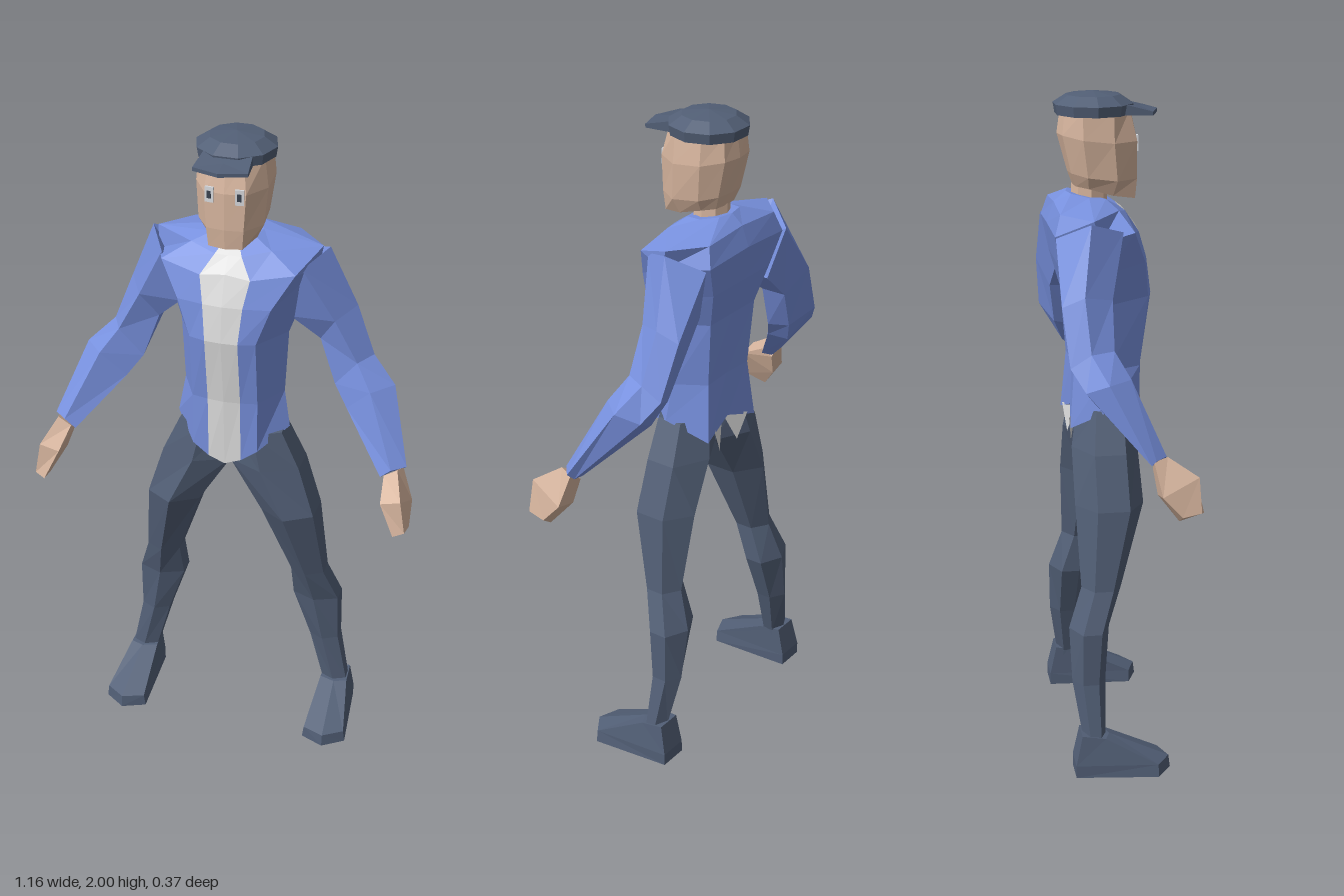
import * as THREE from 'three';

const mat = (name, color, opts = {}) => {
  const m = new THREE.MeshStandardMaterial({ color, ...opts });
  m.name = name;
  return m;
};

// Faceted skin over rings of [x, y, z] points; `accent(i)` picks the sides that use the second material.
function loft(rings, accent = () => false) {
  const n = rings[0].length;
  const main = [], second = [];
  const centre = ring => [0, 1, 2].map(k => ring.reduce((s, p) => s + p[k], 0) / n);
  for (let r = 0; r < rings.length - 1; r++) {
    for (let i = 0; i < n; i++) {
      const j = (i + 1) % n;
      const a = rings[r][i], b = rings[r][j], c = rings[r + 1][j], d = rings[r + 1][i];
      (accent(i) ? second : main).push([a, b, c], [a, c, d]);
    }
  }
  const first = rings[0], last = rings[rings.length - 1];
  const c0 = centre(first), c1 = centre(last);
  for (let i = 0; i < n; i++) {
    const j = (i + 1) % n;
    main.push([c0, first[j], first[i]], [c1, last[i], last[j]]);
  }
  const tris = [...main, ...second];
  // Turn all faces outward using the signed volume
  const [A, B, C] = [new THREE.Vector3(), new THREE.Vector3(), new THREE.Vector3()];
  let volume = 0;
  for (const [a, b, c] of tris) {
    volume += A.fromArray(a).dot(B.fromArray(b).cross(C.fromArray(c)));
  }
  const flat = tris.flatMap(([a, b, c]) => (volume < 0 ? [a, c, b] : [a, b, c])).flat();
  const g = new THREE.BufferGeometry();
  g.setAttribute('position', new THREE.Float32BufferAttribute(flat, 3));
  g.addGroup(0, main.length * 3, 0);
  if (second.length) g.addGroup(main.length * 3, second.length * 3, 1);
  g.computeVertexNormals();
  return g;
}

const facet = g => {
  const f = g.index ? g.toNonIndexed() : g;
  f.computeVertexNormals();
  return f;
};
// Complete a half ring running from centre front to centre back
const whole = half => [...half, ...half.slice(1, -1).reverse().map(([x, y, z]) => [-x, y, z])];
const side = (rings, s) => rings.map(r => r.map(([x, y, z]) => [x * s, y, z]));

export function createModel() {
  const model = new THREE.Group();
  const jacket = mat('jacket blue', 0x7891df);
  const skin = mat('skin', 0xd8b69f);
  const shirt = mat('shirt white', 0xdedede);
  const shirtTail = mat('shirt tail white', 0xdedede, { side: THREE.DoubleSide });
  const dark = mat('dark slate', 0x525f76);
  const eyeWhite = mat('eye white', 0xd8dade);
  const pupil = mat('pupil', 0x39424f);
  const add = (name, geometry, material, parent = model) => {
    const m = new THREE.Mesh(geometry, material);
    m.name = name;
    parent.add(m);
    return m;
  };

  // Jacket with the shirt strip down the front
  const torso = [
    [[0, 0.98, 0.08], [0.05, 1.0, 0.08], [0.1, 1.035, 0.075], [0.175, 1.085, -0.02], [0.12, 1.02, -0.135], [0, 1.06, -0.12]],
    [[0, 1.2, 0.09], [0.05, 1.2, 0.085], [0.1, 1.2, 0.075], [0.155, 1.2, -0.03], [0.1, 1.2, -0.12], [0, 1.2, -0.115]],
    [[0, 1.41, 0.118], [0.05, 1.41, 0.115], [0.1, 1.41, 0.1], [0.165, 1.4, -0.03], [0.11, 1.4, -0.135], [0, 1.4, -0.135]],
    [[0, 1.52, 0.105], [0.06, 1.52, 0.1], [0.14, 1.52, 0.085], [0.2, 1.5, -0.04], [0.14, 1.51, -0.165], [0, 1.51, -0.165]],
    [[0, 1.61, 0.075], [0.075, 1.6, 0.075], [0.2, 1.62, 0.045], [0.24, 1.6, -0.06], [0.18, 1.61, -0.183], [0, 1.62, -0.187]],
    [[0, 1.655, 0.04], [0.04, 1.655, 0.04], [0.12, 1.67, 0.01], [0.25, 1.665, -0.08], [0.16, 1.67, -0.165], [0, 1.68, -0.165]],
    [[0, 1.67, 0.02], [0.03, 1.67, 0.02], [0.065, 1.695, -0.02], [0.075, 1.7, -0.07], [0.05, 1.71, -0.12], [0, 1.71, -0.13]],
  ].map(whole);
  add('jacketAndShirt', loft(torso, i => i === 0 || i === 9), [jacket, shirt]);

  // Neck and head
  const neck = facet(new THREE.CylinderGeometry(0.052, 0.055, 0.12, 8));
  add('neck', neck, skin).position.set(0, 1.69, -0.06);
  const head = [
    [[0, 1.69, 0.075], [0.05, 1.692, 0.068], [0.075, 1.705, 0], [0.07, 1.725, -0.07], [0.045, 1.73, -0.105], [0, 1.73, -0.11]],
    [[0, 1.75, 0.08], [0.055, 1.75, 0.073], [0.097, 1.75, 0.01], [0.09, 1.76, -0.075], [0.055, 1.77, -0.12], [0, 1.77, -0.125]],
    [[0, 1.86, 0.08], [0.062, 1.86, 0.072], [0.106, 1.86, 0], [0.104, 1.87, -0.09], [0.06, 1.88, -0.145], [0, 1.88, -0.155]],
    [[0, 1.95, 0.06], [0.05, 1.95, 0.052], [0.096, 1.95, 0], [0.096, 1.95, -0.09], [0.055, 1.95, -0.138], [0, 1.95, -0.145]],
  ].map(whole);
  add('head', loft(head), skin);

  // Cap crown and peak
  const crown = [[0, 1.935], [0.114, 1.935], [0.119, 1.965], [0.08, 1.99], [0, 2.0]].map(p => new THREE.Vector2(...p));
  const crownMesh = add('capCrown', facet(new THREE.LatheGeometry(crown, 10, Math.PI / 10)), dark);
  crownMesh.position.z = -0.048;
  const peak = (y, drop) => [
    [0.07, y, 0.03], [0.08, y - drop, 0.115], [0, y - drop, 0.14], [-0.08, y - drop, 0.115], [-0.07, y, 0.03],
  ];
  add('capPeak', loft([peak(1.935, 0), peak(1.968, 0.022)]), dark);

  for (const s of [1, -1]) {
    const label = s > 0 ? 'left' : 'right';

    // Eyes
    const eye = new THREE.Group();
    eye.name = label + 'Eye';
    eye.position.set(0.044 * s, 1.853, 0.0745);
    eye.rotation.y = 0.13 * s;
    add('eyeWhite', new THREE.BoxGeometry(0.026, 0.046, 0.006), eyeWhite, eye);
    add('pupil', new THREE.BoxGeometry(0.012, 0.022, 0.009), pupil, eye);
    model.add(eye);

    // Sleeve: outer, back, inner back, inner front, front
    const sleeve = [
      [[0.268, 1.66, -0.09], [0.2, 1.61, -0.183], [0.17, 1.45, -0.14], [0.17, 1.45, -0.03], [0.21, 1.625, 0.01]],
      [[0.348, 1.47, -0.12], [0.33, 1.44, -0.183], [0.25, 1.37, -0.15], [0.25, 1.37, -0.07], [0.3, 1.45, -0.035]],
      [[0.405, 1.32, -0.11], [0.395, 1.28, -0.168], [0.31, 1.24, -0.13], [0.3, 1.23, -0.06], [0.37, 1.32, -0.04]],
      [[0.48, 1.25, -0.07], [0.44, 1.22, -0.13], [0.35, 1.17, -0.1], [0.345, 1.17, -0.03], [0.42, 1.25, 0]],
      [[0.55, 1.05, 0.05], [0.53, 1.03, 0.04], [0.485, 1.02, 0.045], [0.478, 1.02, 0.08], [0.51, 1.05, 0.085]],
    ];
    add(label + 'Sleeve', loft(side(sleeve, s)), jacket);

    // Hand
    const hand = [
      [[0.54, 1.045, 0.045], [0.49, 1.01, 0.05], [0.49, 1.03, 0.085], [0.53, 1.055, 0.085]],
      [[0.575, 0.95, 0.065], [0.515, 0.94, 0.06], [0.5, 0.985, 0.17], [0.56, 1.0, 0.17]],
      [[0.58, 0.89, 0.12], [0.553, 0.872, 0.115], [0.545, 0.89, 0.187], [0.577, 0.9, 0.175]],
    ];
    add(label + 'Hand', loft(side(hand, s)), skin);

    // Trouser leg: y, inner x, outer x, back z, front z
    const leg = [
      [1.08, 0, 0.16, -0.11, 0.06], [0.96, 0, 0.215, -0.13, 0.068], [0.8, 0.1, 0.265, -0.13, 0.075],
      [0.56, 0.185, 0.29, -0.12, 0], [0.44, 0.185, 0.33, -0.16, -0.04], [0.28, 0.24, 0.332, -0.155, -0.055],
      [0.12, 0.285, 0.365, -0.13, -0.06], [0.05, 0.285, 0.37, -0.14, -0.04],
    ].map(([y, xi, xo, zb, zf]) => {
      const xm = (xi + xo) / 2, f = zf + (zb - zf) * 0.25, b = zf + (zb - zf) * 0.72;
      return [[xm, y, zf], [xo, y, f], [xo, y, b], [xm, y, zb], [xi, y, b], [xi, y, f]];
    });
    add(label + 'TrouserLeg', loft(side(leg, s)), dark);

    // Shoe
    const sole = (y, k) => [
      [0.285, y, -0.155], [0.375, y, -0.155], [0.405 - k, y, 0.09], [0.34, y, 0.135 - k], [0.268 + k, y, 0.105],
    ];
    const shoe = [
      sole(0, 0), sole(0.038, 0.005),
      [[0.287, 0.13, -0.135], [0.365, 0.13, -0.135], [0.37, 0.12, -0.065], [0.33, 0.12, -0.05], [0.283, 0.12, -0.065]],
    ];
    add(label + 'Shoe', loft(side(shoe, s)), dark);

    // Shirt tail showing under the back hem
    const tail = new THREE.BufferGeometry();
    const corners = [[0, 1.06, -0.1], [0.085, 1.04, -0.134], [0.045, 0.96, -0.124]];
    tail.setAttribute('position', new THREE.Float32BufferAttribute(
      (s > 0 ? corners : corners.toReversed()).flatMap(([x, y, z]) => [x * s, y, z]), 3));
    tail.computeVertexNormals();
    add(label + 'ShirtTail', tail, shirtTail);
  }
  return model;
}
